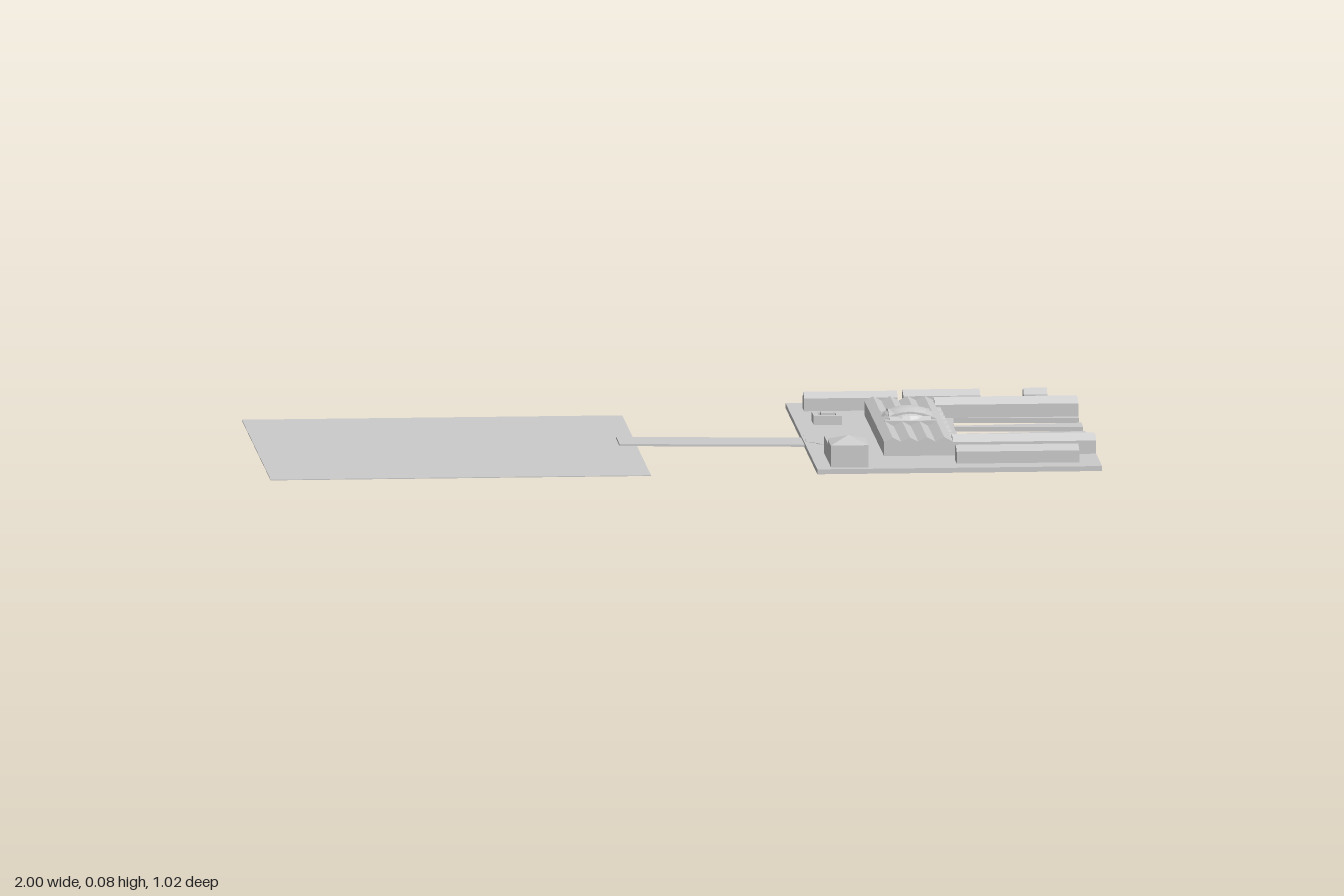
import * as THREE from 'three';

const material = new THREE.MeshStandardMaterial({ color: 0xcccccc, flatShading: true, side: THREE.DoubleSide });
const DECK = 0.012;

export function createModel() {
  const model = new THREE.Group();

  function add(name, geometry) {
    const mesh = new THREE.Mesh(geometry, material);
    mesh.name = name;
    model.add(mesh);
    return mesh;
  }

  // Block given by its limits
  function block(name, x0, x1, y0, y1, z0, z1) {
    return add(name, new THREE.BoxGeometry(x1 - x0, y1 - y0, z1 - z0)
      .translate((x0 + x1) / 2, (y0 + y1) / 2, (z0 + z1) / 2));
  }

  // Flat plate from a plan shape drawn in (x, -z)
  function plate(name, shape, y, height) {
    return add(name, new THREE.ExtrudeGeometry(shape, { depth: height, bevelEnabled: false, curveSegments: 10 })
      .rotateX(-Math.PI / 2).translate(0, y, 0));
  }

  // Long building with one or more parallel ridges, running along x or z
  function gabled(name, x0, x1, z0, z1, eave, ridge, count = 1, alongX = true) {
    const width = alongX ? z1 - z0 : x1 - x0;
    const length = alongX ? x1 - x0 : z1 - z0;
    const s = new THREE.Shape();
    s.moveTo(-width / 2, DECK);
    for (let i = 0; i < count; i++) {
      const a = -width / 2 + (width * i) / count;
      s.lineTo(a, eave);
      s.lineTo(a + width / count / 2, ridge);
    }
    s.lineTo(width / 2, eave);
    s.lineTo(width / 2, DECK);
    const g = new THREE.ExtrudeGeometry(s, { depth: length, bevelEnabled: false }).translate(0, 0, -length / 2);
    if (alongX) g.rotateY(Math.PI / 2);
    return add(name, g.translate((x0 + x1) / 2, 0, (z0 + z1) / 2));
  }

  // Large ground sheet
  block('ground', -1, -0.085, 0, 0.002, -0.42, 0.5);

  // Sloping causeway
  const ramp = new THREE.Shape([[-0.13, 0.009], [0.32, 0.002], [0.32, 0.007], [-0.13, 0.014]]
    .map(([x, y]) => new THREE.Vector2(x, y)));
  add('causeway', new THREE.ExtrudeGeometry(ramp, { depth: 0.11, bevelEnabled: false }).translate(0, 0, -0.015));

  // Terrace whose open side is cut into tapering piers
  const outline = [[0.315, -0.515], [1, -0.515], [1, -0.23], [0.70, -0.255]];
  [[-0.13, 0.69], [-0.003, 0.69], [0.125, 0.68]].forEach(([z, root]) => {
    outline.push([root, z - 0.008], [1, z - 0.032], [1, z + 0.032], [root, z + 0.008]);
  });
  outline.push([0.66, 0.205], [0.70, 0.25], [1, 0.22], [1, 0.505], [0.315, 0.505]);
  plate('terrace', new THREE.Shape(outline.map(([x, z]) => new THREE.Vector2(x, -z))), 0, DECK);

  // Forecourt road with flared corners and a rounded end
  const road = new THREE.Shape();
  road.moveTo(0.32, 0.015);
  road.quadraticCurveTo(0.35, 0.02, 0.35, 0.05);
  road.lineTo(0.39, 0.05);
  road.quadraticCurveTo(0.39, 0.025, 0.405, 0.015);
  road.quadraticCurveTo(0.45, -0.04, 0.405, -0.095);
  road.quadraticCurveTo(0.39, -0.105, 0.39, -0.13);
  road.lineTo(0.35, -0.13);
  road.quadraticCurveTo(0.35, -0.1, 0.32, -0.095);
  plate('forecourtRoad', road, DECK, 0.001);

  // Main hall with parallel ridges, and its arcaded rear wall
  gabled('mainHall', 0.49, 0.655, -0.32, 0.315, 0.046, 0.057, 4, false);
  const bay = 0.064;
  for (let i = 0; i < 8; i++) {
    const arch = new THREE.Shape();
    arch.moveTo(-bay / 2, DECK);
    arch.lineTo(bay / 2, DECK);
    arch.lineTo(bay / 2, 0.034);
    arch.quadraticCurveTo(0, 0.052, -bay / 2, 0.034);
    add('arcadeBay', new THREE.ExtrudeGeometry(arch, { depth: 0.014, bevelEnabled: false, curveSegments: 5 })
      .rotateY(Math.PI / 2).translate(0.653, 0, -0.227 + i * bay));
  }

  // Domed crossing: two crossed vaults and a round cap
  block('crossingBase', 0.51, 0.635, DECK, 0.058, -0.08, 0.07);
  for (const turn of [0, Math.PI / 2]) {
    const vault = new THREE.Shape();
    vault.moveTo(-0.066, 0);
    vault.quadraticCurveTo(0, 0.036, 0.066, 0);
    add('crossingVault', new THREE.ExtrudeGeometry(vault, { depth: 0.1, bevelEnabled: false, curveSegments: 8 })
      .translate(0, 0, -0.05).rotateY(turn).translate(0.572, 0.058, -0.003));
  }
  const dome = [[0.066, 0.058], [0.058, 0.067], [0.043, 0.076], [0.022, 0.082], [0, 0.084]]
    .map(([r, y]) => new THREE.Vector2(r, y));
  add('dome', new THREE.LatheGeometry(dome, 20).translate(0.572, 0, -0.003));

  // Twin-ridged side wings
  gabled('rightWing', 0.655, 1, -0.32, -0.257, 0.044, 0.056, 2);
  gabled('leftWing', 0.655, 1, 0.25, 0.315, 0.044, 0.056, 2);

  // Outlying long buildings
  gabled('sideBuilding', 0.655, 0.95, 0.38, 0.443, 0.041, 0.053);
  gabled('rearBuilding', 0.35, 0.575, -0.43, -0.385, 0.043, 0.056);
  gabled('rearBuilding', 0.59, 0.775, -0.445, -0.40, 0.043, 0.056);
  gabled('rearBuilding', 0.88, 0.937, -0.45, -0.405, 0.043, 0.056);

  // Corner pavilion with pyramid roof and a flat annex
  block('annex', 0.35, 0.44, DECK, 0.054, 0.255, 0.38);
  block('pavilion', 0.35, 0.44, DECK, 0.066, 0.378, 0.482);
  add('pavilionRoof', new THREE.ConeGeometry(Math.SQRT1_2, 0.017, 4)
    .rotateY(Math.PI / 4).scale(0.092, 1, 0.108).translate(0.395, 0.0745, 0.43));

  // Small square court building around an inner block
  const court = new THREE.Shape();
  const hole = new THREE.Path();
  [[-1, -1], [1, -1], [1, 1], [-1, 1]].forEach(([a, b], i) => {
    const step = i ? 'lineTo' : 'moveTo';
    court[step](0.391 + a * 0.034, 0.205 + b * 0.034);
    hole[step](0.391 + a * 0.021, 0.205 + b * 0.021);
  });
  court.holes.push(hole);
  plate('courtBuilding', court, DECK, 0.022);
  block('courtCore', 0.376, 0.406, DECK, 0.038, -0.22, -0.19);

  return model;
}
